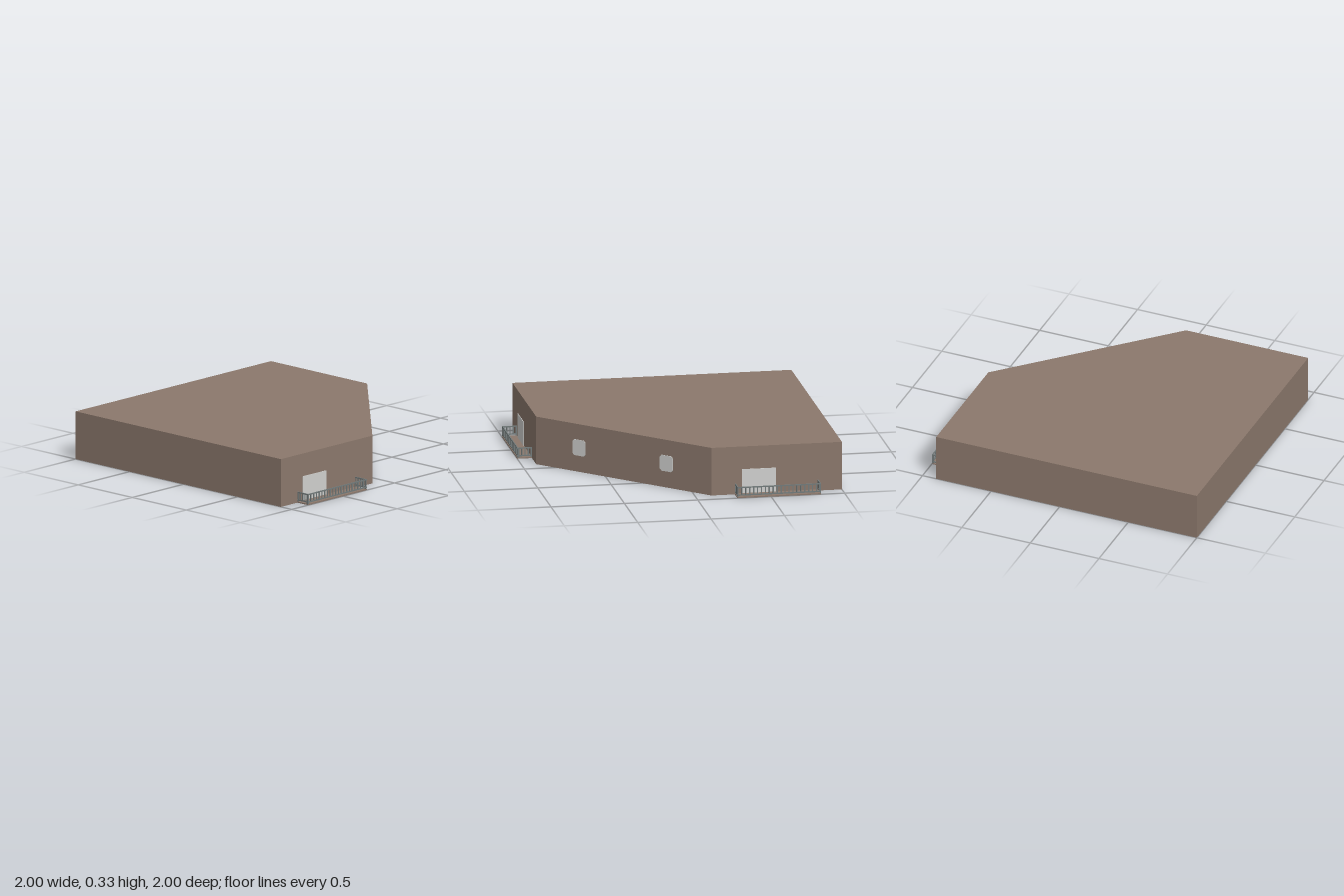
import * as THREE from 'three';

const HEIGHT = 0.33;
const wallPaint = new THREE.MeshStandardMaterial({ color: 0x8b786c });
wallPaint.name = 'brown wall';
const glassPaint = new THREE.MeshStandardMaterial({ color: 0xd0d0ce });
glassPaint.name = 'pale glass';
const railPaint = new THREE.MeshStandardMaterial({ color: 0x737b7b });
railPaint.name = 'grey railing';

function box(parent, name, material, size, position) {
  const mesh = new THREE.Mesh(new THREE.BoxGeometry(...size), material);
  mesh.name = name;
  mesh.position.set(...position);
  parent.add(mesh);
  return mesh;
}

// Square block with one corner cut off diagonally
function createBuilding() {
  const plan = new THREE.Shape([
    [-1, 1], [-1, -0.9], [-0.11, -0.9], [0.9, 0.11], [0.9, 1],
  ].map(([x, y]) => new THREE.Vector2(x, y)));
  const geometry = new THREE.ExtrudeGeometry(plan, { depth: HEIGHT, bevelEnabled: false });
  geometry.rotateX(-Math.PI / 2);
  const mesh = new THREE.Mesh(geometry, wallPaint);
  mesh.name = 'building';
  return mesh;
}

// Window pane with clipped corners, facing +z
function createWindow() {
  const w = 0.053, h = 0.055, c = 0.014;
  const outline = new THREE.Shape([
    [-w + c, -h], [w - c, -h], [w, -h + c], [w, h - c],
    [w - c, h], [-w + c, h], [-w, h - c], [-w, -h + c],
  ].map(([x, y]) => new THREE.Vector2(x, y)));
  const geometry = new THREE.ExtrudeGeometry(outline, { depth: 0.004, bevelEnabled: false });
  const mesh = new THREE.Mesh(geometry, glassPaint);
  mesh.name = 'window';
  return mesh;
}

// Straight run of railing along x, centred on its origin
function createRailing(length, count) {
  const railing = new THREE.Group();
  railing.name = 'railing';
  box(railing, 'topRail', railPaint, [length, 0.008, 0.007], [0, 0.072, 0]);
  box(railing, 'bottomRail', railPaint, [length, 0.008, 0.007], [0, 0.02, 0]);
  for (let i = 0; i < count; i++) {
    const x = (i / (count - 1) - 0.5) * (length - 0.008);
    const end = i === 0 || i === count - 1;
    const bottom = end ? 0 : 0.02;
    box(railing, end ? 'post' : 'baluster', railPaint,
      [0.008, 0.072 - bottom, 0.005], [x, (0.072 + bottom) / 2, 0]);
  }
  return railing;
}

// Door, terrace slab and three-sided railing; the wall lies on z = 0
function createTerrace(name) {
  const terrace = new THREE.Group();
  terrace.name = name;
  box(terrace, 'terraceFloor', wallPaint, [0.57, 0.008, 0.1], [0, 0.004, 0.05]);
  box(terrace, 'door', glassPaint, [0.23, 0.165, 0.004], [-0.12, 0.0905, 0.002]);
  const front = createRailing(0.57, 22);
  front.position.z = 0.0965;
  terrace.add(front);
  for (const side of [-1, 1]) {
    const end = createRailing(0.093, 5);
    end.rotation.y = Math.PI / 2;
    end.position.set(side * 0.2815, 0, 0.0465);
    terrace.add(end);
  }
  return terrace;
}

export function createModel() {
  const model = new THREE.Group();
  model.name = 'building with terraces';
  model.add(createBuilding());

  // Windows on the diagonal wall
  for (const x of [0.138, 0.642]) {
    const pane = createWindow();
    pane.position.set(x, 0.167, 0.79 - x);
    pane.rotation.y = Math.PI / 4;
    model.add(pane);
  }

  // Matching terraces on the front and left walls
  const front = createTerrace('frontTerrace');
  front.position.set(-0.555, 0, 0.9);
  const left = createTerrace('leftTerrace');
  left.position.set(0.9, 0, -0.555);
  left.rotation.y = Math.PI / 2;
  model.add(front, left);
  return model;
}
